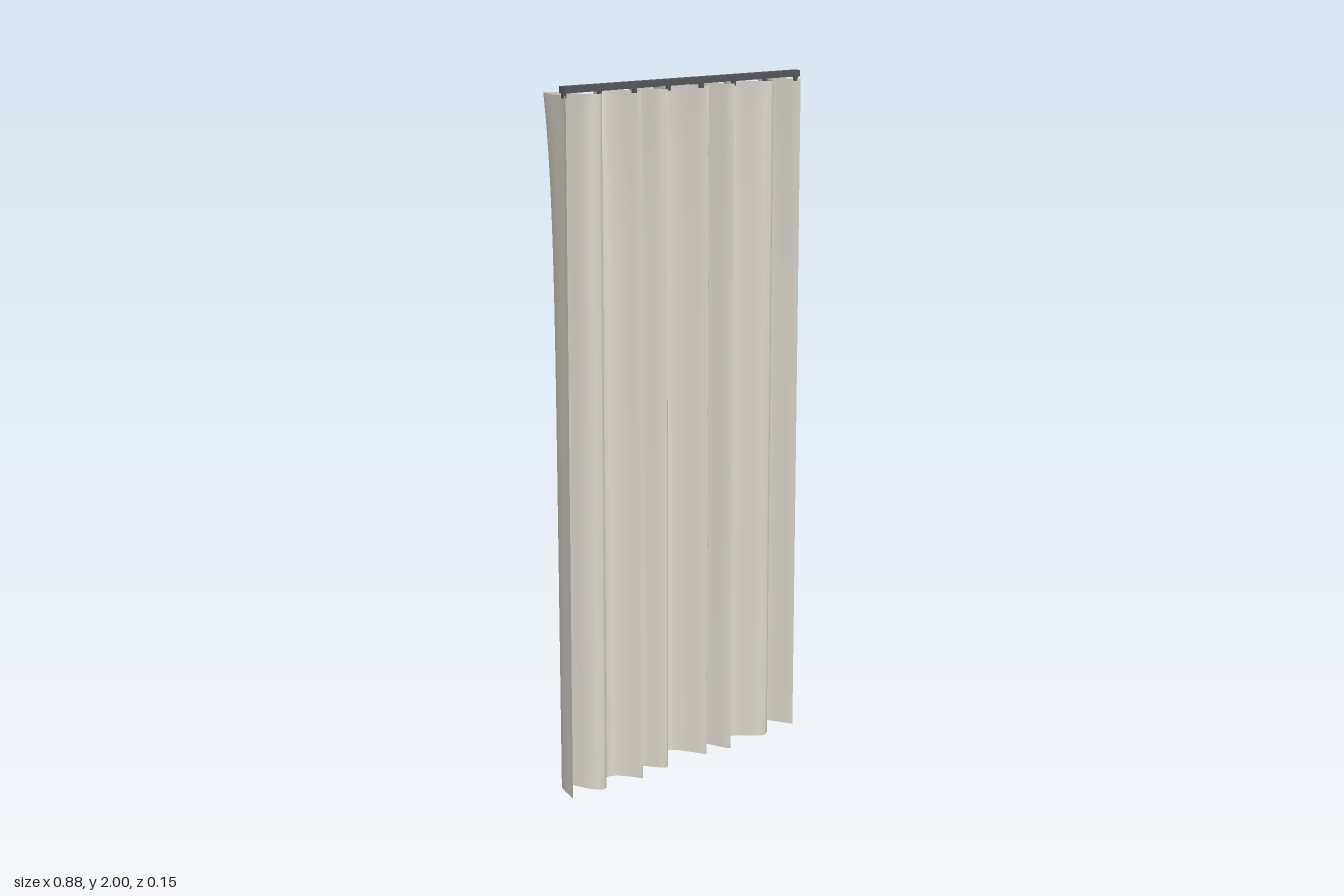
import * as THREE from 'three';

// Backward folds: [centre x, depth z at the top, half width where it leaves the rail]
const FOLDS = [
  [-0.393, -0.075, 0.038], [-0.24, -0.04, 0.052], [-0.13, -0.025, 0.031], [0, -0.068, 0.06],
  [0.128, -0.06, 0.034], [0.24, -0.032, 0.05], [0.39, -0.05, 0.037],
];
const FRONT = 0.072, PIVOT = 0.045, TOP = 1.975;

// Plan section of the cloth along its top edge
function pleatCurve() {
  const pts = [new THREE.Vector3(-0.44, 0, FRONT)];
  FOLDS.forEach(([x, d, w], i) => {
    for (const k of [-1, -0.5, 0, 0.5, 1]) {
      pts.push(new THREE.Vector3(x + k * w, 0, d + (PIVOT - d) * k * k));
    }
    const next = FOLDS[i + 1];
    const mid = next ? (x + w + next[0] - next[2]) / 2 : 0.44;
    pts.push(new THREE.Vector3(mid, 0, FRONT));
  });
  return new THREE.CatmullRomCurve3(pts, false, 'centripetal');
}

// Cloth sheet: folds get shallower below the heading, the hem waves slightly
function clothGeometry() {
  const curve = pleatCurve();
  const cols = (curve.points.length - 1) * 2, rows = 24;
  const geo = new THREE.PlaneGeometry(1, 1, cols, rows);
  const pos = geo.attributes.position;
  for (let i = 0; i < pos.count; i++) {
    const p = curve.getPoint((i % (cols + 1)) / cols);
    const v = 1 - Math.floor(i / (cols + 1)) / rows;
    const hem = 0.007 + 0.006 * Math.cos(p.x * 15);
    const y = hem + (TOP - hem) * v;
    const scale = 0.6 + 0.08 * v + 0.32 * Math.pow(v, 8);
    const z = p.z < PIVOT ? PIVOT + (p.z - PIVOT) * scale : p.z;
    pos.setXYZ(i, p.x, y, z);
  }
  geo.computeVertexNormals();
  return geo;
}

export function createModel() {
  const model = new THREE.Group();
  model.name = 'curtain';
  const clothMat = new THREE.MeshStandardMaterial({ color: 0xddd8cc, side: THREE.DoubleSide });
  const metalMat = new THREE.MeshStandardMaterial({ color: 0x55575a });

  const add = (name, geo, mat, x, y, z) => {
    const mesh = new THREE.Mesh(geo, mat);
    mesh.name = name;
    mesh.position.set(x, y, z);
    model.add(mesh);
  };

  add('cloth', clothGeometry(), clothMat, 0, 0, 0);
  add('rail', new THREE.BoxGeometry(0.88, 0.018, 0.024), metalMat, 0, 1.991, 0.057);

  // Gliders hanging under the rail
  const glider = new THREE.BoxGeometry(0.01, 0.014, 0.01);
  for (let i = 0; i < 8; i++) add('glider', glider, metalMat, -0.434 + i * 0.124, 1.976, 0.057);

  return model;
}
